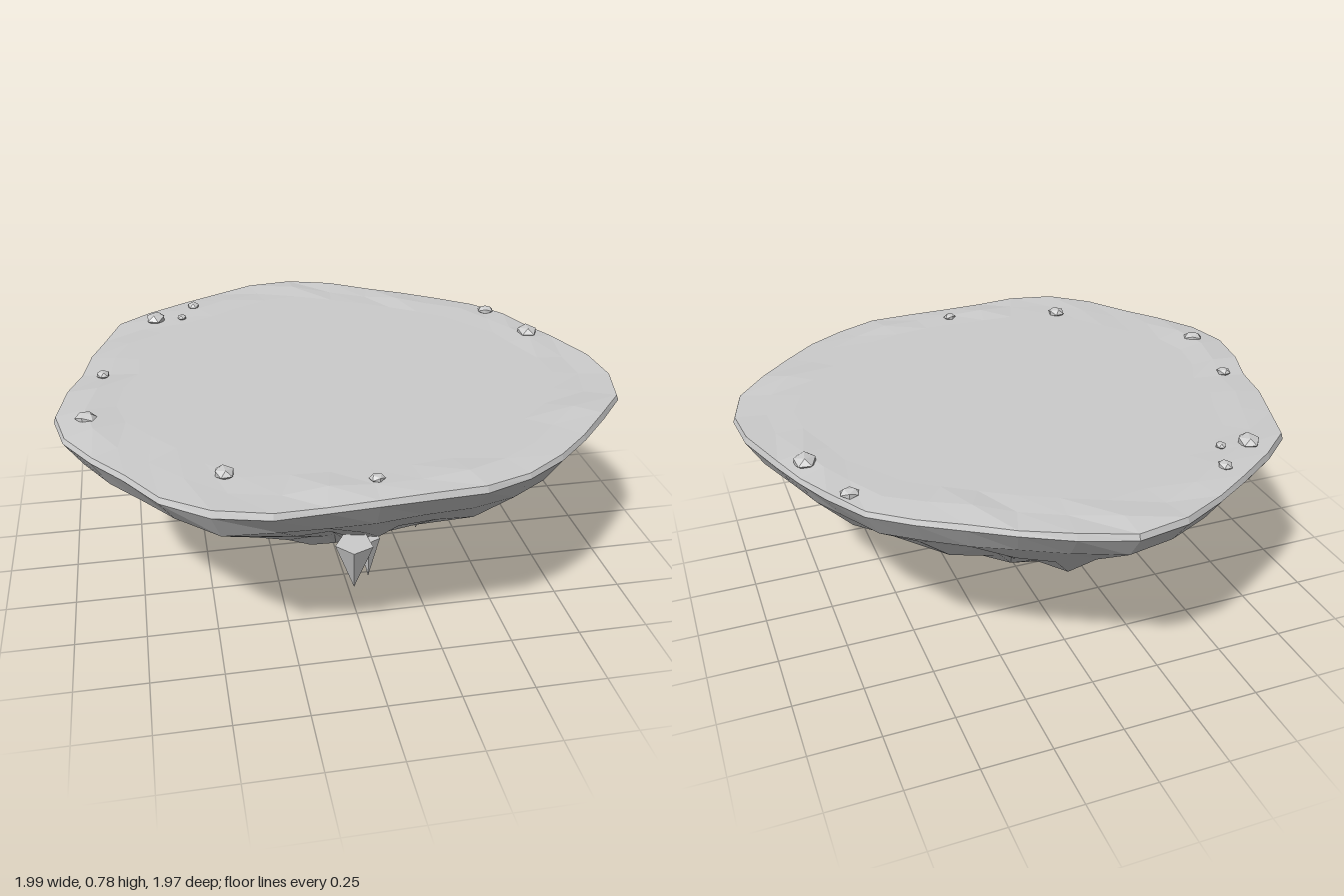
import * as THREE from 'three';

// Rim outline seen from above, as x, z pairs
const RIM = [
  -0.02, -0.985, 0.155, -0.92, 0.31, -0.835, 0.445, -0.75, 0.58, -0.665, 0.71, -0.565,
  0.8, -0.42, 0.86, -0.29, 0.91, -0.16, 0.98, 0.05, 0.995, 0.225, 0.95, 0.4,
  0.84, 0.535, 0.72, 0.67, 0.6, 0.785, 0.46, 0.88, 0.305, 0.94, 0.135, 0.95,
  -0.03, 0.96, -0.19, 0.97, -0.35, 0.98, -0.525, 0.935, -0.67, 0.825, -0.77, 0.67,
  -0.87, 0.54, -0.96, 0.39, -0.995, 0.225, -0.96, 0.04, -0.91, -0.105, -0.88, -0.265,
  -0.83, -0.42, -0.77, -0.585, -0.65, -0.69, -0.5, -0.79, -0.36, -0.875, -0.2, -0.955,
];
const COUNT = RIM.length / 2;
const CX = 0.01, CZ = 0.03;

function seeded(seed) {
  return () => {
    seed = (seed * 16807) % 2147483647;
    return seed / 2147483647;
  };
}

// Skin a list of rings from top to bottom
function skin(rings) {
  const pos = [];
  for (let k = 0; k < rings.length - 1; k++) {
    for (let i = 0; i < COUNT; i++) {
      const j = (i + 1) % COUNT;
      const a = rings[k][i], b = rings[k][j], c = rings[k + 1][i], d = rings[k + 1][j];
      if (a !== b) pos.push(...a, ...b, ...c);
      if (c !== d) pos.push(...b, ...d, ...c);
    }
  }
  const g = new THREE.BufferGeometry();
  g.setAttribute('position', new THREE.Float32BufferAttribute(pos, 3));
  g.computeVertexNormals();
  return g;
}

export function createModel() {
  const group = new THREE.Group();
  const stone = new THREE.MeshStandardMaterial({ color: 0xcccccc, flatShading: true });
  stone.name = 'pale stone';
  const rand = seeded(4711);
  const add = (name, geometry, parent = group) => {
    const mesh = new THREE.Mesh(geometry, stone);
    mesh.name = name;
    parent.add(mesh);
    return mesh;
  };

  // One ring: the rim outline scaled about the axis, with jitter
  const fold = Array.from({ length: COUNT }, () => rand());
  const ring = (scale, y, jitterR = 0, jitterY = 0) =>
    fold.map((f, i) => {
      const s = scale - jitterR * (0.55 * f + 0.45 * rand());
      return [
        CX + (RIM[2 * i] - CX) * s,
        y + (rand() - 0.5) * jitterY,
        CZ + (RIM[2 * i + 1] - CZ) * s,
      ];
    });
  const point = (y) => Array(COUNT).fill([CX, y, CZ]);

  // Ground: flat middle, gently uneven border, thin lip
  const rim = ring(1, 0.727);
  add('ground', skin([
    point(0.75),
    ring(0.81, 0.75, 0.05),
    ring(0.91, 0.752, 0.04, 0.014),
    ring(0.993, 0.748, 0, 0.008),
    rim,
  ]));

  // Underside: folded rock narrowing to a point
  add('underside', skin([
    rim,
    ring(0.95, 0.635, 0.03, 0.01),
    ring(0.81, 0.48, 0.18, 0.02),
    ring(0.54, 0.31, 0.16, 0.03),
    ring(0.285, 0.165, 0.11, 0.02),
    point(0),
  ]));

  // Pebbles around the edge: x, z, radius
  const pebbles = new THREE.Group();
  pebbles.name = 'pebbles';
  group.add(pebbles);
  [
    [-0.62, -0.6, 0.048], [-0.46, -0.72, 0.03], [-0.515, -0.595, 0.023],
    [0.73, -0.455, 0.035], [0.82, -0.2, 0.05], [-0.83, -0.075, 0.03],
    [-0.885, 0.27, 0.039], [-0.465, 0.725, 0.04], [-0.015, 0.84, 0.027],
  ].forEach(([x, z, r]) => {
    const pebble = add('pebble', new THREE.IcosahedronGeometry(r, 0), pebbles);
    pebble.position.set(x, 0.757, z);
    pebble.scale.set(1, 0.5, 0.85);
    pebble.rotation.y = rand() * 6;
  });

  // Hanging spikes: x, z, top, tip, radius
  const spikes = new THREE.Group();
  spikes.name = 'spikes';
  group.add(spikes);
  [
    [-0.045, 0.66, 0.41, 0.235, 0.066], [0.035, 0.515, 0.335, 0.17, 0.04],
    [0.24, 0.375, 0.34, 0.26, 0.025], [0.485, 0.225, 0.42, 0.3, 0.04],
    [0.365, -0.09, 0.3, 0.235, 0.025], [-0.39, 0.4, 0.4, 0.33, 0.025],
  ].forEach(([x, z, top, tip, r]) => {
    const spike = add('spike', new THREE.ConeGeometry(r, top - tip, 5), spikes);
    spike.position.set(x, (top + tip) / 2, z);
    spike.rotation.set(Math.PI, rand() * 6, 0);
  });

  return group;
}
